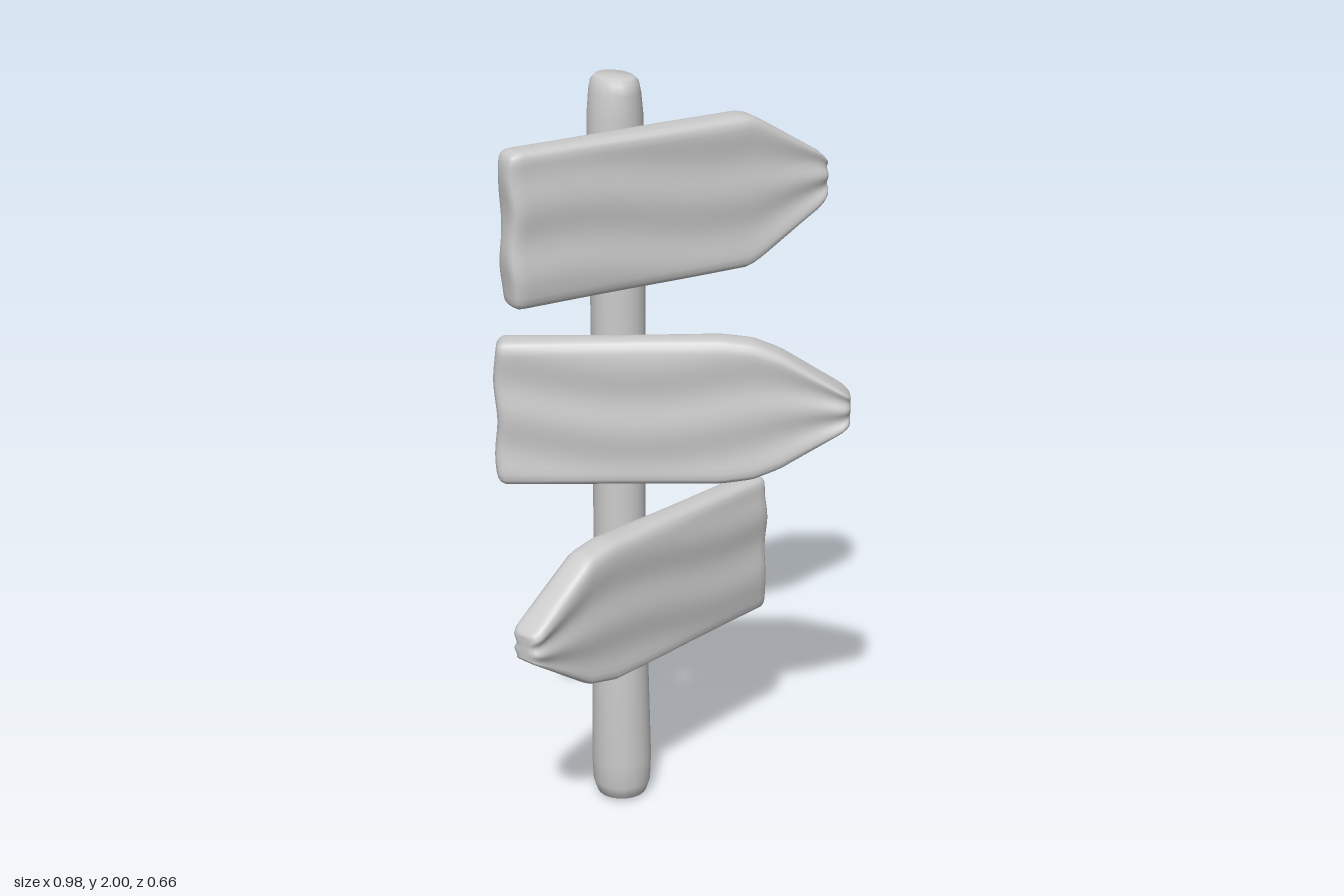
import * as THREE from 'three';
import { mergeVertices } from 'three/addons/utils/BufferGeometryUtils.js';

const material = new THREE.MeshStandardMaterial({ color: 0xcccccc });
const { clamp, lerp } = THREE.MathUtils;

// Piecewise linear lookup through [position, value] pairs
function sample(pairs, x) {
  for (let i = 1; i < pairs.length; i++) {
    const [x0, v0] = pairs[i - 1], [x1, v1] = pairs[i];
    if (x <= x1) return lerp(v0, v1, clamp((x - x0) / (x1 - x0), 0, 1));
  }
  return pairs[pairs.length - 1][1];
}

// Move every vertex by a rule, then weld the seams for smooth normals
function reshape(geometry, rule) {
  const pos = geometry.attributes.position, v = new THREE.Vector3();
  for (let i = 0; i < pos.count; i++) {
    rule(v.fromBufferAttribute(pos, i));
    pos.setXYZ(i, v.x, v.y, v.z);
  }
  geometry.deleteAttribute('normal');
  geometry.deleteAttribute('uv');
  const welded = mergeVertices(geometry, 1e-4);
  welded.computeVertexNormals();
  return welded;
}

// Rounded plank along x, narrowed to an arrow tip by upper and lower outlines
function plank({ name, length, thickness, top, bottom, position, angle, flip, seed }) {
  const half = new THREE.Vector3(length / 2, 0.195, thickness / 2);
  const r = 0.026;
  const inner = half.clone().subScalar(r);
  const core = new THREE.Vector3();
  const box = new THREE.BoxGeometry(length, 0.39, thickness, 48, 24, 6);
  const geometry = reshape(box, (v) => {
    // round all edges
    core.copy(v).clamp(inner.clone().negate(), inner);
    v.sub(core).setLength(r).add(core);
    // arrow outline
    const f = v.y / half.y;
    v.y = f * sample(f > 0 ? top : bottom, v.x);
    // uneven wood grain and a slightly ragged end
    const face = Math.sign(v.z) * Math.min(1, Math.abs(v.z) / inner.z);
    v.z += face * 0.004 * Math.sin(f * 7 + seed + 1.2 * Math.sin(v.x * 6 + seed));
    v.x += 0.004 * Math.sin(f * 6 + seed) * (v.x < 0 ? 1 : 0);
    if (flip) { v.x *= -1; v.z *= -1; }
  });
  const mesh = new THREE.Mesh(geometry, material);
  mesh.name = name;
  mesh.position.set(...position);
  mesh.rotation.y = angle;
  return mesh;
}

// Round post, a little thicker at the foot, with a wedge-shaped top
function makePost() {
  const profile = [[0, 0.008], [0.045, 0.005], [0.066, 0.015], [0.077, 0.05], [0.08, 0.12], [0.076, 0.35],
    [0.069, 0.6], [0.068, 0.9], [0.07, 1.2], [0.07, 1.5], [0.071, 1.8], [0.071, 1.9], [0.07, 1.96],
    [0.067, 1.985], [0.055, 1.998], [0, 2]].map(([x, y]) => new THREE.Vector2(x, y));
  const geometry = reshape(new THREE.LatheGeometry(profile, 20), (v) => {
    v.x *= sample([[0, 1], [1.89, 1], [1.95, 0.88], [2, 0.74]], v.y);
    v.x += -0.012 + 0.004 * Math.sin(v.y * 4 + 2.5);
    v.z += 0.003 * Math.sin(v.y * 3);
  });
  const post = new THREE.Mesh(geometry, material);
  post.name = 'post';
  post.position.z = -0.176;
  return post;
}

export function createModel() {
  const group = new THREE.Group();
  group.name = 'signpost';
  group.add(makePost());

  // Three arrow boards fixed to the front of the post
  const sharp = [[-0.45, 0.197], [0.215, 0.197], [0.25, 0.18], [0.42, 0.075], [0.452, 0.042]];
  group.add(plank({
    name: 'topSign', length: 0.904, thickness: 0.085, top: sharp, bottom: sharp,
    position: [0.045, 1.69, -0.052], angle: -0.255, seed: 0.5,
  }));

  const soft = [[-0.45, 0.193], [0.12, 0.195], [0.2, 0.184], [0.27, 0.155], [0.42, 0.06], [0.45, 0.036]];
  group.add(plank({
    name: 'middleSign', length: 0.89, thickness: 0.08, top: soft, bottom: soft,
    position: [0.012, 1.165, -0.003], angle: -0.77, seed: 2.1,
  }));

  group.add(plank({
    name: 'bottomSign', length: 0.9, thickness: 0.085, flip: true, seed: 3.7,
    top: [[-0.45, 0.183], [0.16, 0.197], [0.24, 0.184], [0.42, 0.06], [0.45, 0.04]],
    bottom: [[-0.45, 0.208], [0.15, 0.195], [0.25, 0.17], [0.42, 0.055], [0.45, 0.036]],
    position: [-0.038, 0.663, -0.053], angle: 0.057,
  }));
  return group;
}
